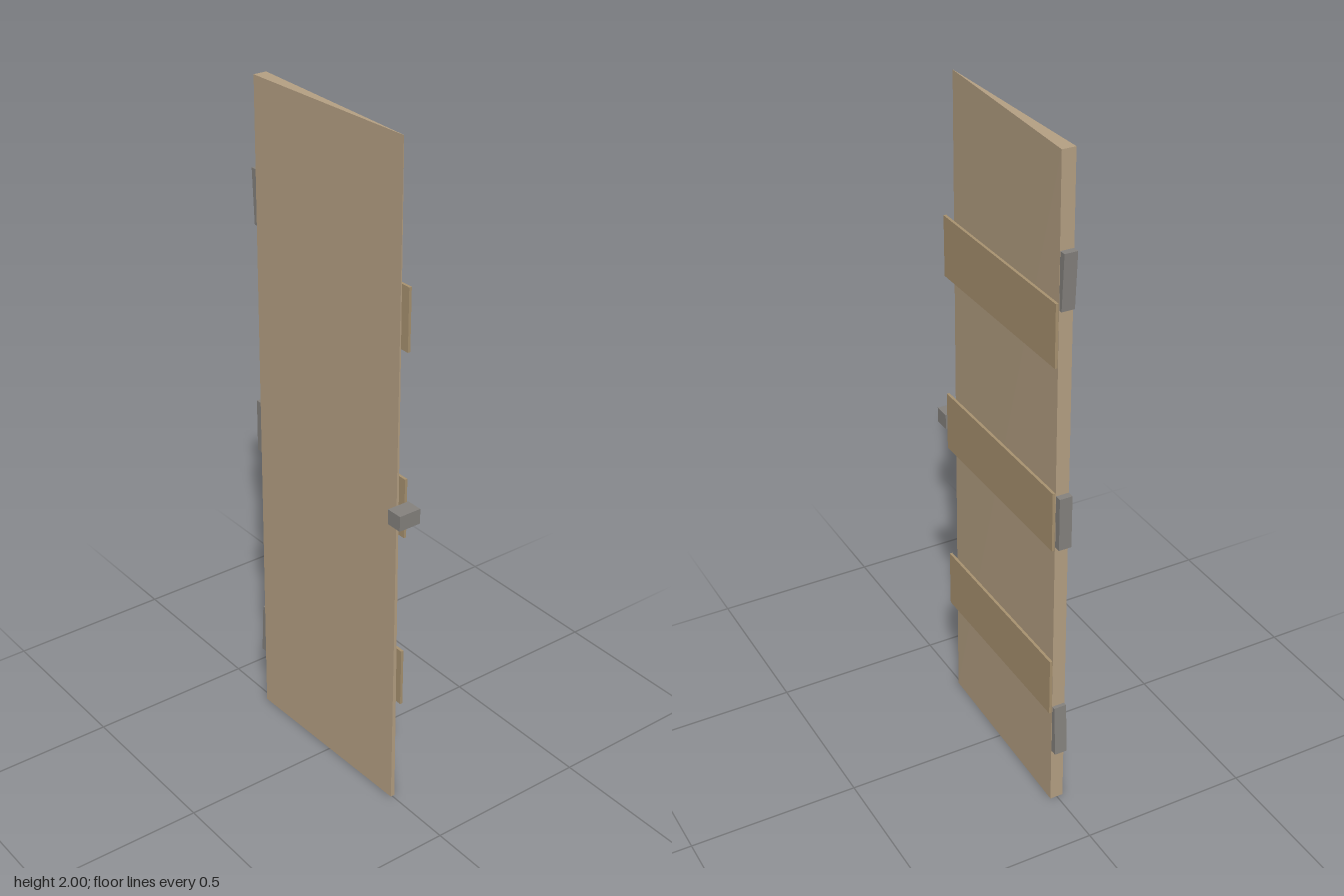
import * as THREE from 'three';

const wood = new THREE.MeshStandardMaterial({ color: 0xb5a083, flatShading: true });
const battenWood = new THREE.MeshStandardMaterial({ color: 0xa89270, flatShading: true });
const iron = new THREE.MeshStandardMaterial({ color: 0x85827e, flatShading: true });

// Box spanning two corners; optional rule moves each vertex
function block(name, material, [x0, y0, z0], [x1, y1, z1], rule) {
  const geo = new THREE.BoxGeometry(x1 - x0, y1 - y0, z1 - z0);
  geo.translate((x0 + x1) / 2, (y0 + y1) / 2, (z0 + z1) / 2);
  if (rule) {
    const pos = geo.attributes.position;
    const v = new THREE.Vector3();
    for (let i = 0; i < pos.count; i++) {
      rule(v.fromBufferAttribute(pos, i));
      pos.setXYZ(i, v.x, v.y, v.z);
    }
    geo.computeVertexNormals();
  }
  const mesh = new THREE.Mesh(geo, material);
  mesh.name = name;
  return mesh;
}

export function createModel() {
  const door = new THREE.Group();
  door.name = 'door';

  // Slab, full thickness at the hinge edge and thin at the latch edge
  door.add(block('slab', wood, [-0.315, 0, -0.021], [0.285, 2, 0.019], v => {
    if (v.x > 0) v.z = v.z > 0 ? 0.005 : v.y > 1 ? 0.004 : -0.008;
  }));

  // Three battens across the back
  for (const [i, y] of [0.41, 0.96, 1.51].entries()) {
    door.add(block(`batten${i + 1}`, battenWood,
      [-0.315, y - 0.09, -0.03], [0.285, y + 0.09, -0.022]));
  }

  // Hinges: plain in the middle, bent on one end at top and bottom
  const hinges = [
    ['lowerHinge', 0.26, v => { if (v.y > 0.26 && v.x < -0.325) v.x = -0.326; }],
    ['middleHinge', 0.96, null],
    ['upperHinge', 1.66, v => { if (v.y < 1.66 && v.x < -0.325) v.x = -0.326; }],
  ];
  for (const [name, y, rule] of hinges) {
    door.add(block(name, iron, [-0.335, y - 0.08, -0.02], [-0.315, y + 0.08, 0.018], rule));
  }

  // Latch block on the free edge
  door.add(block('latch', iron, [0.285, 0.935, -0.035], [0.335, 0.98, 0.034]));

  return door;
}
